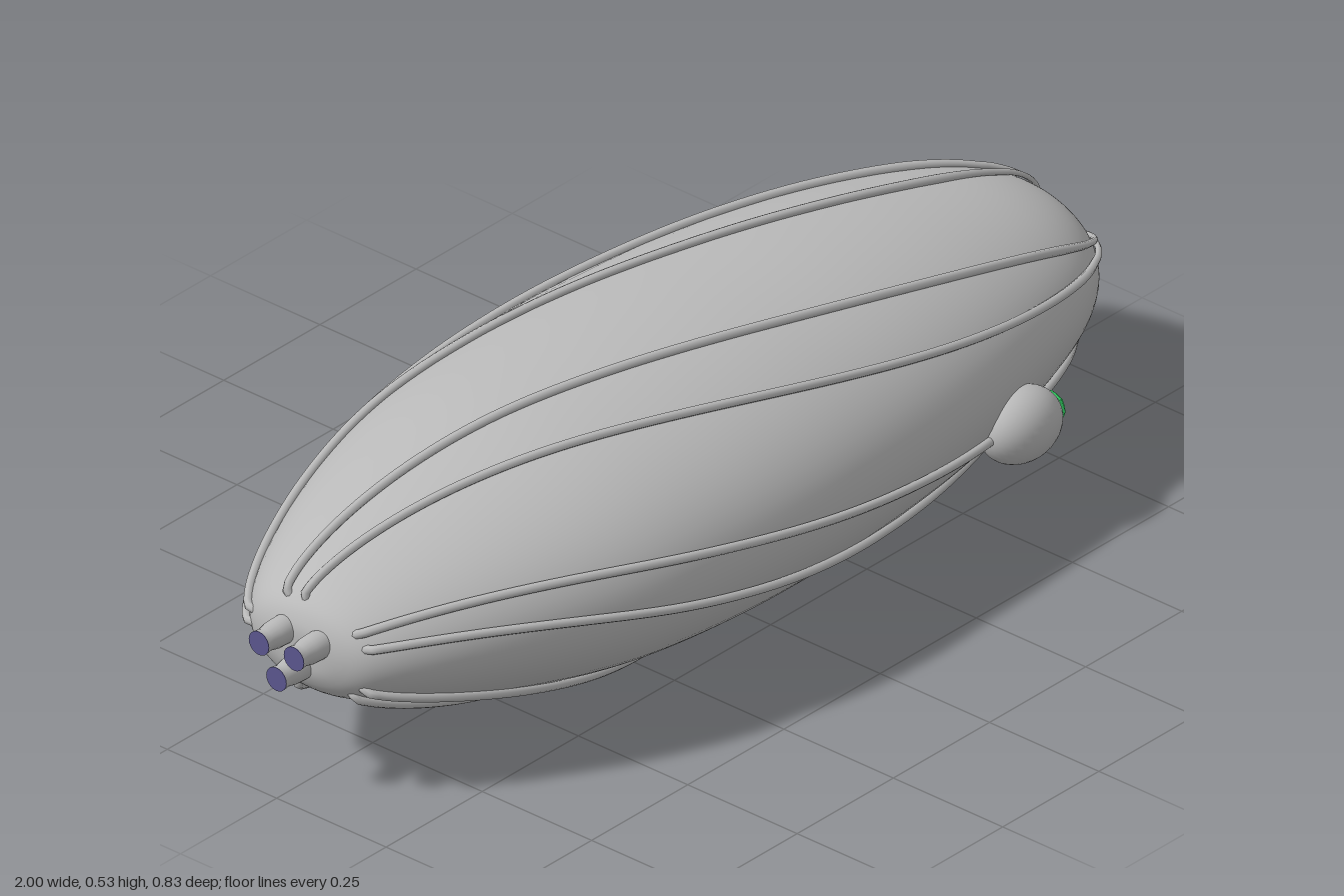
import * as THREE from 'three';

const CY = 0.265, HALF_H = 0.252, HALF_W = 0.402;

// Hull outline: [radius factor, x] from stern to nose
const outline = new THREE.CatmullRomCurve3([
  [0, -0.94], [0.2, -0.936], [0.36, -0.905], [0.53, -0.81], [0.77, -0.6], [0.92, -0.4],
  [0.985, -0.2], [1, 0], [0.975, 0.2], [0.92, 0.4], [0.82, 0.6], [0.66, 0.8], [0.52, 0.9],
  [0.36, 0.96], [0.18, 0.982], [0, 0.986],
].map(([r, x]) => new THREE.Vector3(r, x, 0)), false, 'centripetal');

function add(parent, name, geometry, material) {
  const mesh = new THREE.Mesh(geometry, material);
  mesh.name = name;
  parent.add(mesh);
  return mesh;
}

// Point on the hull at an angle in degrees, lifted outward
function hullPoint(r, x, degrees, lift) {
  const a = THREE.MathUtils.degToRad(degrees);
  const k = Math.min(1, r * 4);
  return new THREE.Vector3(
    x + (x > 0.9 ? lift * (1 - r) : 0),
    CY + (HALF_H * r + lift * k) * Math.sin(a),
    -(HALF_W * r + lift * k) * Math.cos(a));
}

// Swirling rib from the nose to the stern; spread separates the two ribs of a pair
function ribGeometry(startAngle, spread) {
  const points = [];
  for (let i = 0; i <= 70; i++) {
    const p = outline.getPoint(1 - (i / 70) * 0.868);
    const t = Math.max(0, (0.986 - p.y) / 1.9);
    const twist = 79 * Math.pow(t, 1.35) + spread * (1 - Math.exp(-12 * t)) * (1 - 0.35 * t * t);
    points.push(hullPoint(Math.max(0, p.x), p.y, startAngle - twist, 0.006));
  }
  // Bury the stern end in the hull
  const end = points[points.length - 1].clone();
  end.y = CY + (end.y - CY) * 0.7;
  end.z *= 0.7;
  end.x += 0.004;
  points.push(end);

  // Taper the tube to a fine tip at the nose
  const curve = new THREE.CatmullRomCurve3(points);
  const rings = 150, sides = 8;
  const geometry = new THREE.TubeGeometry(curve, rings, 0.0085, sides);
  const position = geometry.attributes.position;
  const vertex = new THREE.Vector3();
  for (let ring = 0; ring < 24; ring++) {
    const centre = curve.getPointAt(ring / rings);
    for (let s = 0; s <= sides; s++) {
      const index = ring * (sides + 1) + s;
      vertex.fromBufferAttribute(position, index).sub(centre).multiplyScalar(0.3 + 0.7 * ring / 24).add(centre);
      position.setXYZ(index, vertex.x, vertex.y, vertex.z);
    }
  }
  return geometry;
}

export function createModel() {
  const hullGrey = new THREE.MeshStandardMaterial({ color: 0xb9b9b9 });
  hullGrey.name = 'hull grey';
  const lampGreen = new THREE.MeshStandardMaterial({ color: 0x38e06c, flatShading: true });
  lampGreen.name = 'lamp green';
  const exhaustPurple = new THREE.MeshStandardMaterial({ color: 0x5c5890 });
  exhaustPurple.name = 'exhaust purple';

  const model = new THREE.Group();
  model.name = 'airship';

  // Hull
  const profile = outline.getPoints(90).map(p => new THREE.Vector2(Math.max(0, p.x), p.y));
  const hull = new THREE.LatheGeometry(profile, 72);
  hull.rotateZ(-Math.PI / 2);
  hull.scale(1, HALF_H, HALF_W);
  hull.translate(0, CY, 0);
  add(model, 'hull', hull, hullGrey);

  // Five pairs of ribs
  const ribs = new THREE.Group();
  ribs.name = 'ribs';
  model.add(ribs);
  for (let i = 0; i < 5; i++) {
    for (const spread of [0, 26]) add(ribs, 'rib', ribGeometry(90 + i * 72, spread), hullGrey);
  }

  // Side pods with faceted lamps
  for (const side of [1, -1]) {
    const pod = new THREE.Group();
    pod.name = side > 0 ? 'frontPod' : 'backPod';
    pod.position.set(0.535, 0.2, side * 0.35);
    model.add(pod);
    add(pod, 'podBody', new THREE.SphereGeometry(1, 32, 20), hullGrey).scale.set(0.086, 0.068, 0.063);
    const lamp = add(pod, 'podLamp', new THREE.SphereGeometry(0.037, 8, 6), lampGreen);
    lamp.position.x = 0.063;
    lamp.rotation.z = -Math.PI / 2;
  }

  // Three stern engines in a triangle
  const nozzleProfile = [[0.024, 0], [0.026, 0.04], [0.025, 0.065], [0.021, 0.085], [0.023, 0.1]]
    .map(([r, y]) => new THREE.Vector2(r, y));
  for (const [y, z] of [[0.292, 0.04], [0.292, -0.04], [0.236, 0]]) {
    const engine = new THREE.Group();
    engine.name = 'engine';
    engine.position.set(-0.9, y, z);
    engine.rotation.z = Math.PI / 2;
    model.add(engine);
    add(engine, 'nozzle', new THREE.LatheGeometry(nozzleProfile, 20), hullGrey);
    add(engine, 'exhaust', new THREE.CylinderGeometry(0.023, 0.022, 0.006, 20), exhaustPurple).position.y = 0.098;
  }
  return model;
}
